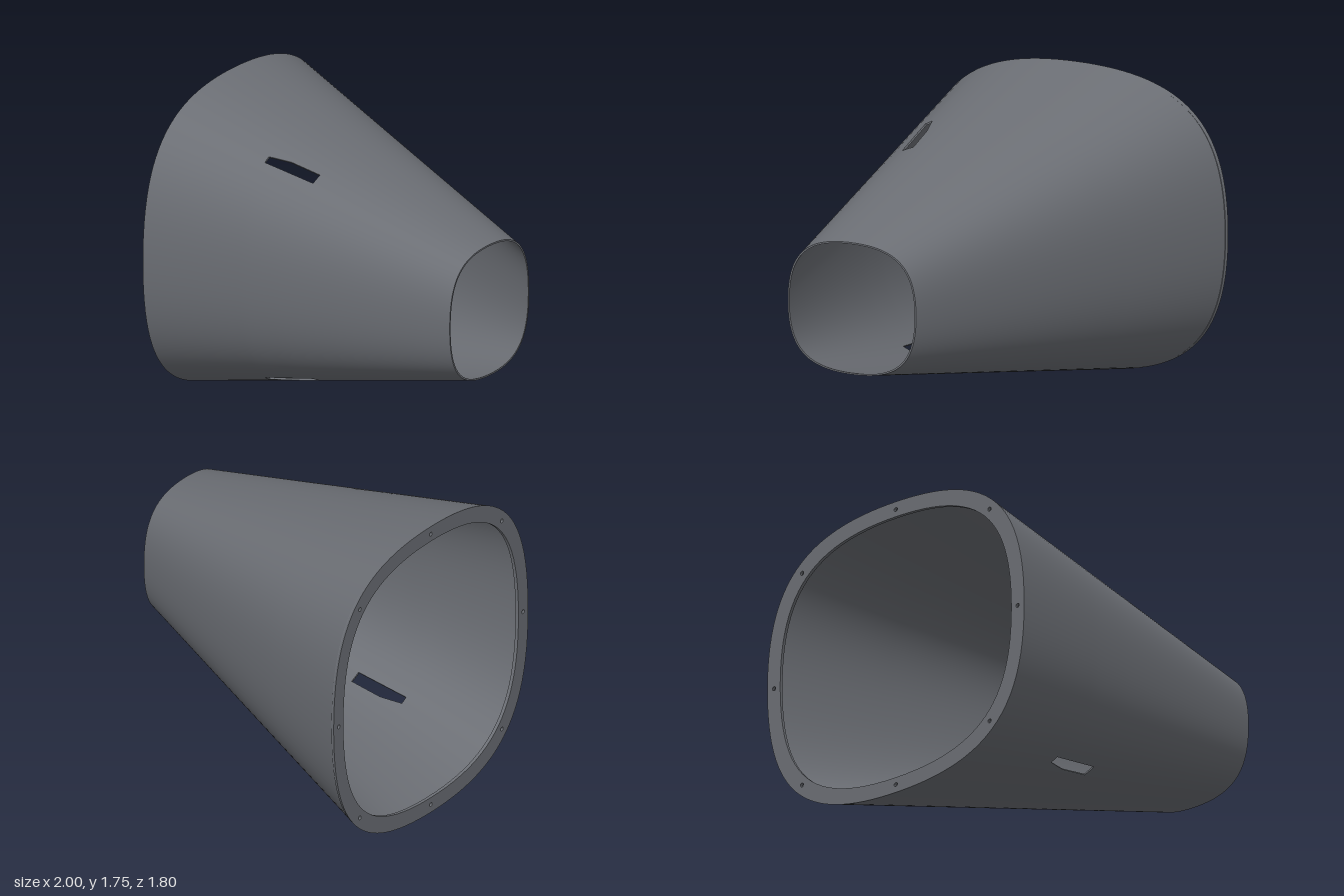
import * as THREE from 'three';

const K = 0.72;             // roundness of the squarish cross-section
const WALL = 0.009;
const CY = 0.873;
const COLS = [-1, -0.69, -0.38, -0.315, -0.25, -0.155, -0.06, 0.2, 0.6, 1];
const SLOT = [2, 6];        // columns between which the slots are open
const A = 14, B = 4, Q = A + B + 14; // rows in each quarter

// Unit quarter of the section: s = 0 at the top, 1 at the side
function quarter(s) {
  const r = 1 - s, m = 3 * r * r * s, n = 3 * r * s * s;
  return [m * K + n + s * s * s, r * r * r + m + n * K];
}

// Section centre and half sizes along the taper
function section(x) {
  const t = (x + 1) / 2;
  return { cz: 0.472 * t, rz: 0.9 - 0.52 * t, ry: 0.873 - 0.495 * t };
}

function sAtZ(x, z) {
  const { cz, rz } = section(x);
  let lo = 0, hi = 1;
  for (let i = 0; i < 30; i++) {
    const mid = (lo + hi) / 2;
    if (quarter(mid)[0] * rz + cz < z) lo = mid; else hi = mid;
  }
  return lo;
}

// Closed loop of points at x: top, front, bottom, back
function ring(x, inset) {
  const { cz, rz, ry } = section(x);
  const xs = THREE.MathUtils.clamp(x, -0.38, -0.06);
  const zEdge = THREE.MathUtils.lerp(0.588, 0.562, Math.min(1, (xs + 0.38) / 0.13));
  const s1 = sAtZ(xs, zEdge), s2 = sAtZ(xs, 0.628);
  const front = [], back = [];
  for (let i = 0; i <= Q; i++) {
    const s = i <= A ? s1 * i / A
      : i <= A + B ? s1 + (s2 - s1) * (i - A) / B
        : s2 + (1 - s2) * (i - A - B) / (Q - A - B);
    front.push(quarter(s));
    back.push(quarter(i / Q));
  }
  const pts = [];
  const add = ([z, y], sz, sy) => pts.push([x, CY + sy * y * (ry - inset), cz + sz * z * (rz - inset)]);
  for (let i = 0; i < Q; i++) add(front[i], 1, 1);
  for (let i = Q; i > 0; i--) add(front[i], 1, -1);
  for (let i = 0; i < Q; i++) add(back[i], -1, -1);
  for (let i = Q; i > 0; i--) add(back[i], -1, 1);
  return pts;
}

const N = 4 * Q;
const slotRows = [[A, A + B], [2 * Q - A - B, 2 * Q - A]];
const isOpen = (i, j) => i >= SLOT[0] && i < SLOT[1] && slotRows.some(([a, b]) => j >= a && j < b);

// Smooth skin with the two slots left open
function skin(rings, flip) {
  const index = [];
  for (let i = 0; i < rings.length - 1; i++) {
    for (let j = 0; j < N; j++) {
      if (isOpen(i, j)) continue;
      const k = (j + 1) % N;
      const a = i * N + j, b = i * N + k, c = a + N, d = b + N;
      if (flip) index.push(a, c, b, b, c, d);
      else index.push(a, b, c, b, d, c);
    }
  }
  const g = new THREE.BufferGeometry();
  g.setAttribute('position', new THREE.Float32BufferAttribute(rings.flat(2), 3));
  g.setIndex(index);
  g.computeVertexNormals();
  return g;
}

// Separate quads for cut edges
function quads(list) {
  const pos = [];
  for (const [a, b, c, d] of list) pos.push(...a, ...b, ...c, ...a, ...c, ...d);
  const g = new THREE.BufferGeometry();
  g.setAttribute('position', new THREE.Float32BufferAttribute(pos, 3));
  g.computeVertexNormals();
  return g;
}

// Bolted mounting ring at the wide end
function flangeGeometry() {
  const loop = (rz, ry) => {
    const pts = [];
    for (let q = 0; q < 4; q++) {
      for (let i = 0; i < 24; i++) {
        const [u, v] = quarter(q % 2 ? 1 - i / 24 : i / 24);
        pts.push(new THREE.Vector2(u * rz * (q < 2 ? 1 : -1), v * ry * (q === 0 || q === 3 ? 1 : -1)));
      }
    }
    return pts;
  };
  const shape = new THREE.Shape(loop(0.893, 0.866));
  shape.holes.push(new THREE.Path(loop(0.81, 0.783)));
  const bolts = loop(0.853, 0.826);
  for (let i = 0; i < 8; i++) {
    const p = bolts[i * 12];
    shape.holes.push(new THREE.Path().absarc(p.x, p.y, 0.012, 0, Math.PI * 2, true));
  }
  const g = new THREE.ExtrudeGeometry(shape, { depth: 0.02, bevelEnabled: false, curveSegments: 6 });
  g.rotateY(Math.PI / 2);
  g.translate(-1, CY, 0);
  return g;
}

export function createModel() {
  const group = new THREE.Group();
  group.name = 'taperedShell';
  const grey = new THREE.MeshStandardMaterial({ color: 0x6b6e74, side: THREE.DoubleSide });
  grey.name = 'slate grey';
  const add = (name, geometry) => {
    const mesh = new THREE.Mesh(geometry, grey);
    mesh.name = name;
    group.add(mesh);
  };

  const outer = COLS.map((x) => ring(x, 0));
  const inner = COLS.map((x) => ring(x, WALL));
  add('outerSkin', skin(outer, false));
  add('innerSkin', skin(inner, true));

  // End rims and slot edges join the two skins
  const across = (i, j, faceRight) => {
    const k = (j + 1) % N;
    const q = [outer[i][j], outer[i][k], inner[i][k], inner[i][j]];
    return faceRight ? q : q.reverse();
  };
  const along = (i, j, faceBack) => {
    const q = [outer[i][j], outer[i + 1][j], inner[i + 1][j], inner[i][j]];
    return faceBack ? q : q.reverse();
  };
  const rims = [], edges = [];
  for (let j = 0; j < N; j++) rims.push(across(0, j, false), across(COLS.length - 1, j, true));
  for (const [a, b] of slotRows) {
    for (let j = a; j < b; j++) edges.push(across(SLOT[0], j, true), across(SLOT[1], j, false));
    for (let i = SLOT[0]; i < SLOT[1]; i++) edges.push(along(i, a, false), along(i, b, true));
  }
  add('endRims', quads(rims));
  add('slotEdges', quads(edges));
  add('mountingFlange', flangeGeometry());
  return group;
}
